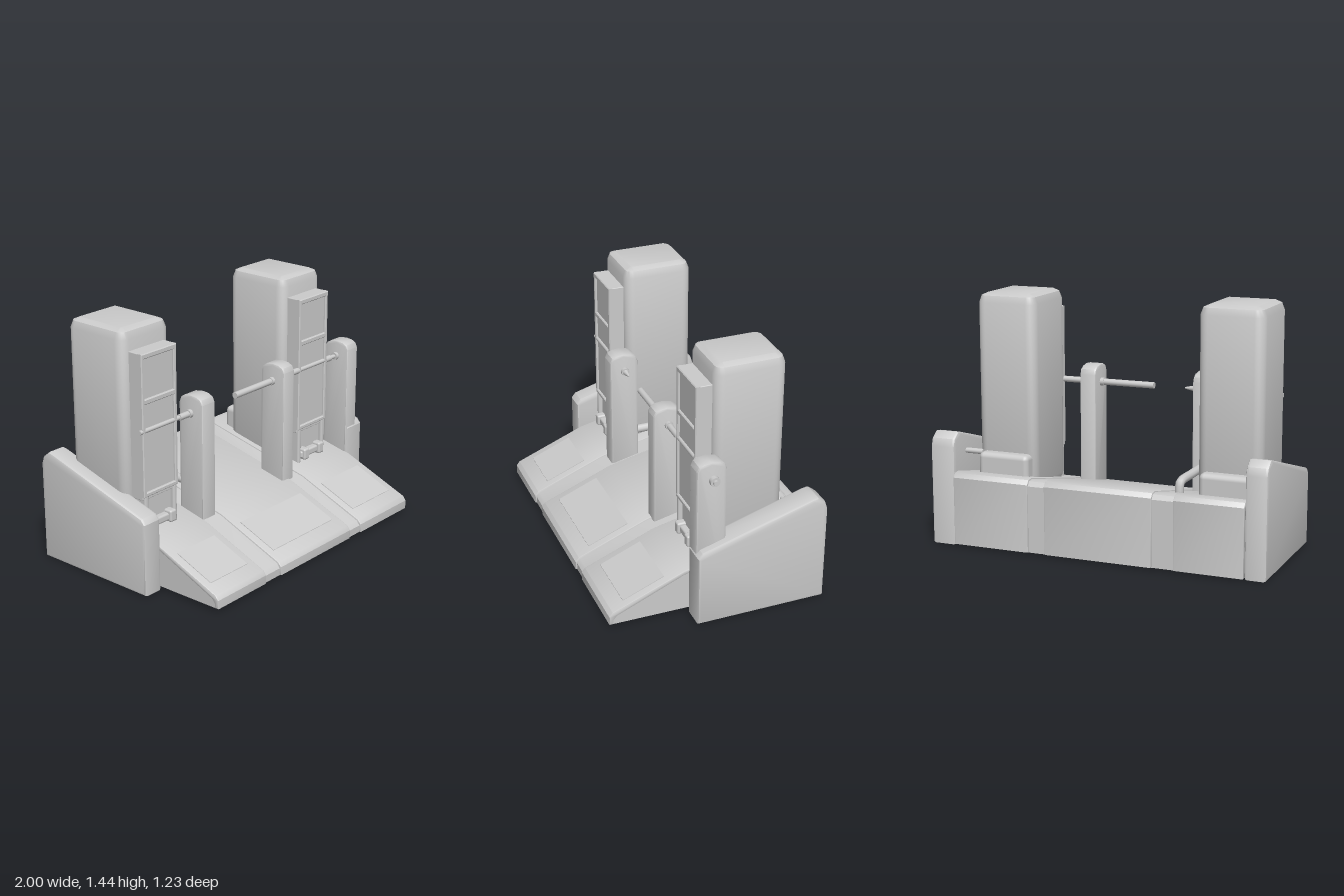
import * as THREE from 'three';
import { toCreasedNormals } from 'three/addons/utils/BufferGeometryUtils.js';
import { RoundedBoxGeometry } from 'three/addons/geometries/RoundedBoxGeometry.js';

const grey = new THREE.MeshStandardMaterial({ color: 0xcccccc, side: THREE.DoubleSide });

function add(parent, name, geometry, x = 0, y = 0, z = 0) {
  const mesh = new THREE.Mesh(geometry, grey);
  mesh.name = name;
  mesh.position.set(x, y, z);
  parent.add(mesh);
  return mesh;
}

// Box given by its limits, with small rounded edges
function block(parent, name, x0, x1, y0, y1, z0, z1, r = 0.012) {
  const g = new RoundedBoxGeometry(x1 - x0, y1 - y0, z1 - z0, 2, r);
  return add(parent, name, g, (x0 + x1) / 2, (y0 + y1) / 2, (z0 + z1) / 2);
}

// Side profile of [z, y] points swept from x0 to x1, edges bevelled
function sideSlab(parent, name, profile, x0, x1, bevel = 0) {
  const shape = new THREE.Shape(profile.map(([z, y]) => new THREE.Vector2(-z, y)));
  const g = new THREE.ExtrudeGeometry(shape, {
    depth: x1 - x0 - 2 * bevel, bevelEnabled: bevel > 0,
    bevelThickness: bevel, bevelSize: bevel, bevelOffset: -bevel, bevelSegments: 2,
  });
  g.rotateY(Math.PI / 2);
  return add(parent, name, toCreasedNormals(g, 0.6), x0 + bevel, 0, 0);
}

function roundedRect(w, h, r) {
  const s = new THREE.Shape();
  const a = w / 2 - r, b = h / 2 - r;
  s.absarc(a, b, r, 0, Math.PI / 2);
  s.absarc(-a, b, r, Math.PI / 2, Math.PI);
  s.absarc(-a, -b, r, Math.PI, Math.PI * 1.5);
  s.absarc(a, -b, r, Math.PI * 1.5, Math.PI * 2);
  s.closePath();
  return s;
}

// Rod along x
function rod(parent, name, x0, x1, r, y = 0.88, z = 0.065, r1 = r) {
  const g = new THREE.CylinderGeometry(r1, r, x1 - x0, 12);
  g.rotateZ(-Math.PI / 2);
  return add(parent, name, g, (x0 + x1) / 2, y, z);
}

// Hollow sloping deck: three panels with lower seam strips between
function buildDeck(root) {
  const deck = new THREE.Group();
  deck.name = 'deck';
  const outer = (d) => [
    [0.615 - d, 0.02], [0.615 - d, 0.07 - d], [0.595 - d, 0.095 - d], [0.18, 0.262 - d],
    [-0.56 + d, 0.43 - d], [-0.595 + d, 0.425 - d], [-0.615 + d, 0.4 - d], [-0.615 + d, 0.01],
  ];
  const shell = (top, inner) => [...outer(top), ...outer(inner).reverse()];
  for (const [x0, x1] of [[-0.88, -0.48], [-0.355, 0.285], [0.385, 0.85]]) {
    sideSlab(deck, 'deckPanel', shell(0, 0.025), x0, x1, 0.006);
    // Shallow raised plate on the front ramp
    sideSlab(deck, 'rampPlate', [[0.52, 0.12], [0.52, 0.128], [0.28, 0.226], [0.28, 0.215]],
      x0 + 0.05, x1 - 0.05);
  }
  for (const [x0, x1] of [[-0.485, -0.35], [0.28, 0.39]])
    sideSlab(deck, 'seamStrip', shell(0.008, 0.025), x0, x1);
  for (const x of [-0.876, 0.826]) sideSlab(deck, 'deckEnd', outer(0.006), x, x + 0.02);
  root.add(deck);
}

// Sloping end wall, z front to back
function buildWall(root, name, x0, x1, zf, zb) {
  sideSlab(root, name, [
    [zf, 0], [zf, 0.42], [zf - 0.025, 0.45], [zb + 0.09, 0.645],
    [zb + 0.06, 0.65], [zb + 0.015, 0.615], [zb, 0.57], [zb, 0],
  ], x0, x1, 0.016);
}

function buildTower(x, w) {
  const t = new THREE.Group();
  t.name = 'tower';
  t.position.x = x;
  const bevel = 0.05;

  // Main column with chamfered shoulders
  const body = new THREE.ExtrudeGeometry(roundedRect(w, 0.415, 0.055), {
    depth: 1.03, bevelThickness: 0.055, bevelSize: bevel, bevelOffset: -bevel,
    bevelSegments: 2, curveSegments: 3,
  });
  body.rotateX(-Math.PI / 2);
  add(t, 'column', toCreasedNormals(body, 0.6), 0, 0.35, -0.2225);
  block(t, 'plinth', -0.155, 0.155, 0.22, 0.53, -0.49, -0.03, 0.03);

  // Front cabinet: frame with two recessed panels
  const frame = new THREE.Shape([[-0.135, 0.5], [0.135, 0.5], [0.135, 1.315], [-0.135, 1.315]]
    .map((p) => new THREE.Vector2(...p)));
  for (const [y0, y1] of [[0.525, 1.03], [1.06, 1.285]])
    frame.holes.push(new THREE.Path([[-0.112, y0], [-0.112, y1], [0.112, y1], [0.112, y0]]
      .map((p) => new THREE.Vector2(...p))));
  const fg = new THREE.ExtrudeGeometry(frame, {
    depth: 0.02, bevelThickness: 0.005, bevelSize: 0.005, bevelOffset: -0.005, bevelSegments: 1,
  });
  add(t, 'cabinetFrame', toCreasedNormals(fg, 0.5), 0, 0, 0.052);
  block(t, 'cabinet', -0.135, 0.135, 0.48, 1.315, -0.03, 0.064, 0.004);

  // Lower bracket with rails and feet
  block(t, 'bracketBack', -0.115, 0.115, 0.26, 0.51, -0.03, 0.05, 0.008);
  for (const s of [-1, 1]) {
    block(t, 'bracketRail', s * 0.112 - 0.015, s * 0.112 + 0.015, 0.28, 0.51, -0.03, 0.075);
    block(t, 'bracketFoot', s * 0.07 - 0.025, s * 0.07 + 0.025, 0.3, 0.37, 0.02, 0.1);
  }
  block(t, 'bracketBar', -0.105, 0.105, 0.31, 0.355, 0.02, 0.085);
  return t;
}

// Upright with a rounded top carrying a rod
function buildPost(root, x0, x1, y0, top) {
  sideSlab(root, 'post', [
    [0.152, y0], [0.152, top - 0.045], [0.138, top - 0.018], [0.11, top - 0.004], [0.07, top],
    [0.02, top - 0.008], [-0.008, top - 0.025], [-0.02, top - 0.055], [-0.02, y0],
  ], x0, x1, 0.012);
}

export function createModel() {
  const root = new THREE.Group();
  root.name = 'twinTowerStation';

  buildDeck(root);
  buildWall(root, 'rightWall', -1, -0.875, 0.2, -0.59);
  buildWall(root, 'leftWall', 0.848, 0.998, 0.157, -0.6);
  root.add(buildTower(-0.73, 0.37), buildTower(0.6, 0.36));

  buildPost(root, -0.48, -0.37, 0.16, 0.985);
  buildPost(root, 0.228, 0.328, 0.16, 0.985);
  buildPost(root, 0.84, 0.945, 0.2, 0.975);

  // Rods, with collars beside the posts
  rod(root, 'rightRod', -0.88, -0.35, 0.013);
  rod(root, 'rightRodTip', -0.35, -0.295, 0.017, 0.88, 0.065, 0.005);
  rod(root, 'leftRodGrip', -0.105, 0.24, 0.019);
  rod(root, 'leftRod', 0.23, 0.995, 0.013);
  for (const [x0, x1] of [[-0.57, -0.48], [0.328, 0.47], [0.73, 0.78]])
    rod(root, 'rodSleeve', x0, x1, 0.018);
  for (const x of [-0.5, -0.37, 0.208, 0.328, 0.82]) rod(root, 'collar', x, x + 0.02, 0.024);
  rod(root, 'endKnob', 0.958, 0.985, 0.028);
  rod(root, 'endCap', 0.985, 1, 0.016);

  // Bent pipe from the right post down into the deck
  const path = new THREE.CatmullRomCurve3([
    [0, 0.44, 0], [0, 0.44, -0.18], [0, 0.44, -0.33], [0, 0.43, -0.36], [0, 0.4, -0.367], [0, 0.34, -0.367],
  ].map((p) => new THREE.Vector3(...p)));
  add(root, 'bentPipe', new THREE.TubeGeometry(path, 24, 0.025, 10), -0.425, 0, 0);
  rod(root, 'sidePipe', 0.74, 0.87, 0.016, 0.525, -0.45);

  return root;
}
